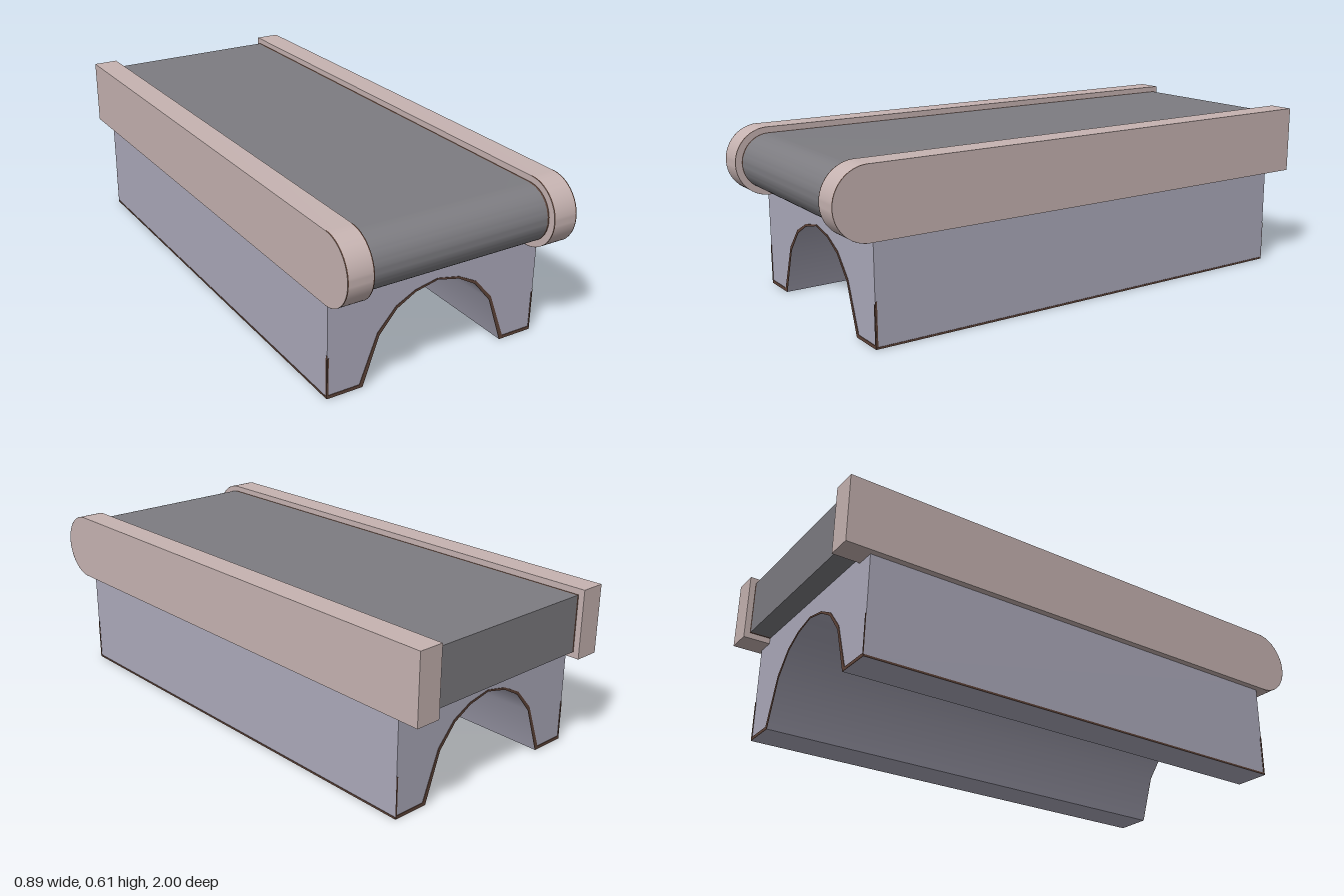
import * as THREE from 'three';
import { toCreasedNormals } from 'three/addons/utils/BufferGeometryUtils.js';

const material = (name, color) => new THREE.MeshStandardMaterial({ name, color });

export function createModel() {
  const group = new THREE.Group();
  const rose = material('rosePaint', 0xc6b3b1);
  const lavender = material('lavenderMetal', 0xacaabb);
  const rubber = material('greyRubber', 0x7d7c81);
  const rust = material('brownWear', 0x5e4338);
  rust.side = THREE.DoubleSide;

  const add = (name, geometry, mat, x = 0, y = 0, z = 0) => {
    const mesh = new THREE.Mesh(geometry, mat);
    mesh.name = name;
    mesh.position.set(x, y, z);
    group.add(mesh);
    return mesh;
  };
  const extrude = (shape, depth) => toCreasedNormals(
    new THREE.ExtrudeGeometry(shape, { depth, bevelEnabled: false, curveSegments: 20 }), 0.55);

  // Side profile with a square back and a round nose, extruded across x
  const noseProfile = (back, front, radius, width) => {
    const s = new THREE.Shape();
    s.moveTo(back, -radius);
    s.lineTo(front - radius, -radius);
    s.absarc(front - radius, 0, radius, -Math.PI / 2, Math.PI / 2, false);
    s.lineTo(back, radius);
    s.closePath();
    return extrude(s, width).translate(0, 0, -width / 2).rotateY(-Math.PI / 2);
  };

  // Belt with worn seams and side rails
  const midY = 0.487;
  add('belt', noseProfile(-0.978, 0.975, 0.103, 0.686), rubber, 0, midY);
  for (const s of [-1, 1]) {
    add('beltSeam', noseProfile(-0.978, 0.975, 0.103, 0.009), rust, s * 0.3465, midY);
    add('sideRail', noseProfile(-1, 1, 0.125, 0.095), rose, s * 0.3965, midY);
    // Worn edges around the rail nose
    for (const x of [0.351, 0.442]) {
      const band = new THREE.CylinderGeometry(0.1255, 0.1255, 0.004, 24, 1, true, -Math.PI / 2, Math.PI);
      add('railNoseEdge', band.rotateZ(Math.PI / 2).rotateX(0), rust, s * x, midY, 0.875)
        .rotation.x = 0;
      band.computeBoundingBox();
      if (band.boundingBox.max.z < 0.1) band.rotateX(Math.PI / 2);
    }
  }

  // Arched base, one cross-section along z
  const half = [[0.285, 0], [0.225, 0.175], [0.158, 0.255], [0.087, 0.295], [0, 0.315]];
  const arch = [...half, ...half.slice(0, -1).reverse().map(([x, y]) => [-x, y])];
  const toShape = (pts) => new THREE.Shape(pts.map(([x, y]) => new THREE.Vector2(x, y)));
  const front = 0.855, back = -0.9;
  const section = toShape([[0.42, 0], [0.42, 0.39], [-0.42, 0.39], [-0.42, 0], ...[...arch].reverse()]);
  add('archedBase', extrude(section, front - back), lavender, 0, 0, back);

  // Worn trim on the arch lip and feet at both ends
  const outerHalf = [[0.415, 0.15], [0.415, 0.012], [0.297, 0.012], [0.232, 0.186],
    [0.162, 0.265], [0.088, 0.303], [0, 0.321]];
  const outer = [[0.42, 0], [0.42, 0.15], ...outerHalf,
    ...outerHalf.slice(0, -1).reverse().map(([x, y]) => [-x, y]), [-0.42, 0.15], [-0.42, 0]];
  const trim = toShape([...outer, ...[...arch].reverse()]);
  for (const z of [front, back - 0.002]) add('archTrim', extrude(trim, 0.002), rust, 0, 0, z);

  // Worn lower edges and front corners of the base sides
  for (const s of [-1, 1]) {
    add('footEdge', new THREE.BoxGeometry(0.002, 0.007, front - back), rust,
      s * 0.4205, 0.0035, (front + back) / 2);
    add('cornerWear', new THREE.BoxGeometry(0.002, 0.16, 0.006), rust, s * 0.4205, 0.08, front - 0.003);
  }
  return group;
}
